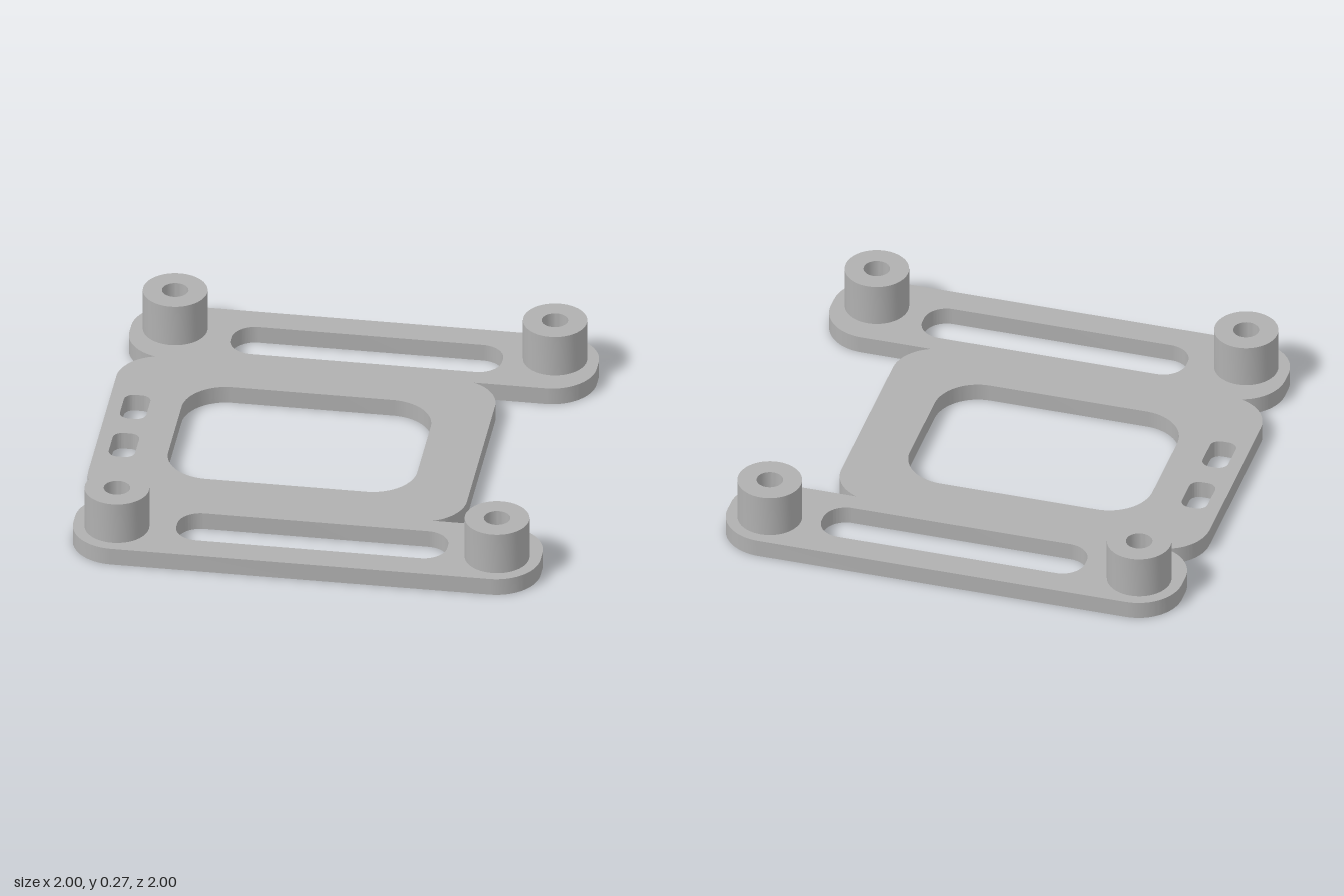
import * as THREE from 'three';
import { toCreasedNormals } from 'three/addons/utils/BufferGeometryUtils.js';

const THICK = 0.077, TOP = 0.267;   // plate thickness, standoff top
const R = 0.19;                     // corner radius of the plate outline
const POST = 0.813, POST_R = 0.137, BORE_R = 0.056;

// Rounded rectangular cut-out
function roundedHole(x0, x1, y0, y1, r) {
  const p = new THREE.Path();
  p.absarc(x1 - r, y1 - r, r, 0, Math.PI / 2);
  p.absarc(x0 + r, y1 - r, r, Math.PI / 2, Math.PI);
  p.absarc(x0 + r, y0 + r, r, Math.PI, Math.PI * 1.5);
  p.absarc(x1 - r, y0 + r, r, Math.PI * 1.5, Math.PI * 2);
  p.closePath();
  return p;
}

function roundHole(x, y, r) {
  const p = new THREE.Path();
  p.absarc(x, y, r, 0, Math.PI * 2);
  return p;
}

// Outline: two rounded arms merged with a rounded middle panel
function plateOutline() {
  const PI = Math.PI, H = PI / 2;
  const armIn = 0.568, armC = armIn + R, end = 1 - R;
  const midC = 0.392, midX = 0.62 - R;
  const right = Math.asin((armIn - midC) / R);     // panel meets arm edge
  const left = Math.asin((armC - midC) / 2 / R);   // panel meets arm corner
  const s = new THREE.Shape();
  s.absarc(midX, midC, R, 0, right);
  s.absarc(end, armC, R, -H, 0);
  s.absarc(end, end, R, 0, H);
  s.absarc(-end, end, R, H, PI);
  s.absarc(-end, armC, R, PI, PI + left);
  s.absarc(-end, midC, R, PI - left, PI);
  s.absarc(-end, -midC, R, PI, PI + left);
  s.absarc(-end, -armC, R, PI - left, PI);
  s.absarc(-end, -end, R, PI, PI + H);
  s.absarc(end, -end, R, -H, 0);
  s.absarc(end, -armC, R, 0, H);
  s.absarc(midX, -midC, R, -right, 0);
  s.closePath();
  return s;
}

export function createModel() {
  const group = new THREE.Group();
  group.name = 'mountingBracket';
  const grey = new THREE.MeshStandardMaterial({ color: 0xb0b0b0 });
  grey.name = 'grey';

  // Plate with window, arm slots, strap slots and screw holes
  const shape = plateOutline();
  shape.holes.push(roundedHole(-0.69, 0.377, -0.377, 0.377, R));
  for (const s of [-1, 1]) {
    const arm = [0.655 * s, 0.877 * s].sort((a, b) => a - b);
    const strap = [0.06 * s, 0.253 * s].sort((a, b) => a - b);
    shape.holes.push(roundedHole(-0.565, 0.595, arm[0], arm[1], 0.1));
    shape.holes.push(roundedHole(-0.94, -0.827, strap[0], strap[1], 0.042));
    for (const t of [-1, 1]) shape.holes.push(roundHole(t * POST, s * POST, BORE_R));
  }
  const plateGeo = new THREE.ExtrudeGeometry(shape, { depth: THICK, bevelEnabled: false, curveSegments: 16 });
  plateGeo.rotateX(-Math.PI / 2);
  const plate = new THREE.Mesh(toCreasedNormals(plateGeo, 0.6), grey);
  plate.name = 'plate';
  group.add(plate);

  // Hollow standoffs at the four corners
  const profile = [[POST_R, THICK], [POST_R, TOP], [BORE_R, TOP], [BORE_R, THICK]]
    .map(([x, y]) => new THREE.Vector2(x, y));
  const postGeo = toCreasedNormals(new THREE.LatheGeometry(profile, 48), 0.6);
  for (const [x, sideName] of [[POST, 'left'], [-POST, 'right']]) {
    for (const [z, endName] of [[POST, 'Front'], [-POST, 'Back']]) {
      const post = new THREE.Mesh(postGeo, grey);
      post.name = sideName + endName + 'Standoff';
      post.position.set(x, 0, z);
      group.add(post);
    }
  }
  return group;
}
